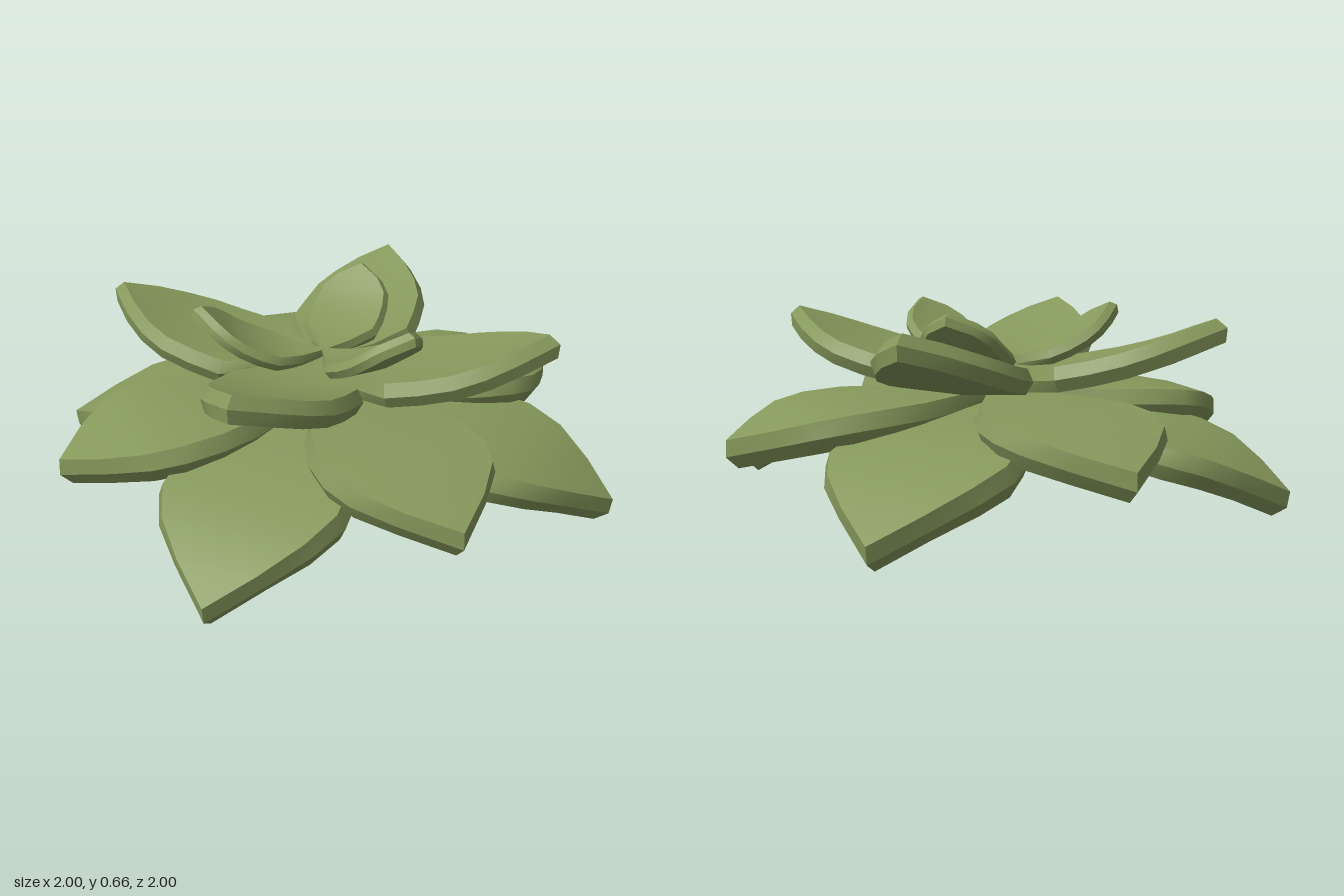
import * as THREE from 'three';
import { toCreasedNormals } from 'three/addons/utils/BufferGeometryUtils.js';

// Positions along each leaf (0 = base, 1 = tip) where a cross-section is placed
const STATIONS = [0, 0.18, 0.36, 0.5, 0.64, 0.76, 0.88, 1];

// Each tier: midrib path as [distance, height], half widths per station,
// thickness, outward bulge of the rim, lift of the side edges, leaf angles in degrees
const TIERS = [
  {
    name: 'outerLeaf', angles: [0, 90, 180, 270], thick: 0.1, bulge: 0.022, lift: -0.005,
    path: [[0, 0.345], [0.3, 0.33], [0.55, 0.298], [0.8, 0.225], [1, 0.097]],
    widths: [0.012, 0.125, 0.225, 0.275, 0.28, 0.225, 0.125, 0],
  },
  {
    name: 'middleLeaf', angles: [45, 135, 225, 315], thick: 0.1, bulge: 0.022, lift: -0.01,
    path: [[0, 0.385], [0.25, 0.386], [0.5, 0.386], [0.7, 0.36], [0.92, 0.273]],
    widths: [0.012, 0.11, 0.205, 0.25, 0.258, 0.225, 0.13, 0],
  },
  {
    name: 'innerLeaf', angles: [0, 90, 180, 270], thick: 0.082, bulge: 0.022, lift: 0.012,
    path: [[0, 0.465], [0.2, 0.466], [0.5, 0.532], [0.75, 0.64]],
    widths: [0.012, 0.13, 0.212, 0.207, 0.195, 0.155, 0.09, 0],
  },
  {
    name: 'heartLeaf', angles: [60, 180, 300], thick: 0.05, bulge: 0.014, lift: 0.012,
    path: [[0, 0.488], [0.13, 0.498], [0.28, 0.56], [0.405, 0.668]],
    widths: [0.008, 0.065, 0.122, 0.126, 0.122, 0.113, 0.075, 0],
  },
];

// One thick leaf growing along +z, lofted through eight-point cross-sections
function leafGeometry({ path, widths, thick, bulge, lift }) {
  const midrib = new THREE.CatmullRomCurve3(path.map(([z, y]) => new THREE.Vector3(0, y, z)));
  const widest = Math.max(...widths);
  const positions = [];
  const index = [];
  const n = 8;

  STATIONS.forEach((u, i) => {
    const c = midrib.getPointAt(u);
    const t = midrib.getTangentAt(u);
    const w = widths[i];
    const tip = w === 0;
    const rim = tip ? 0 : w + bulge * Math.min(1, u * 4);
    const edge = lift * w / widest;
    // [sideways, depth below the top surface, push along the leaf]
    const section = [
      [-w, -edge, 0], [0, 0, 0], [w, -edge, 0],
      [rim, thick * 0.5 - edge, tip ? bulge : 0],
      [w, thick - edge, 0], [0, thick, 0], [-w, thick - edge, 0],
      [-rim, thick * 0.5 - edge, tip ? bulge : 0],
    ];
    for (const [x, depth, push] of section) {
      positions.push(x, c.y - t.z * depth + t.y * push, c.z + t.y * depth + t.z * push);
    }
  });

  for (let i = 0; i < STATIONS.length - 1; i++) {
    for (let j = 0; j < n; j++) {
      const a = i * n + j;
      const b = i * n + (j + 1) % n;
      index.push(a, a + n, b + n, a, b + n, b);
    }
  }
  // Base cap
  for (let j = 1; j < n - 1; j++) index.push(0, j, j + 1);

  const geometry = new THREE.BufferGeometry();
  geometry.setAttribute('position', new THREE.Float32BufferAttribute(positions, 3));
  geometry.setIndex(index);
  return toCreasedNormals(geometry, 0.5);
}

export function createModel() {
  const model = new THREE.Group();
  model.name = 'succulentRosette';
  const green = new THREE.MeshStandardMaterial({ color: 0x86995c });

  for (const tier of TIERS) {
    const geometry = leafGeometry(tier);
    tier.angles.forEach((angle, i) => {
      const leaf = new THREE.Mesh(geometry, green);
      leaf.name = `${tier.name}${i + 1}`;
      leaf.rotation.y = THREE.MathUtils.degToRad(angle);
      model.add(leaf);
    });
  }
  return model;
}
